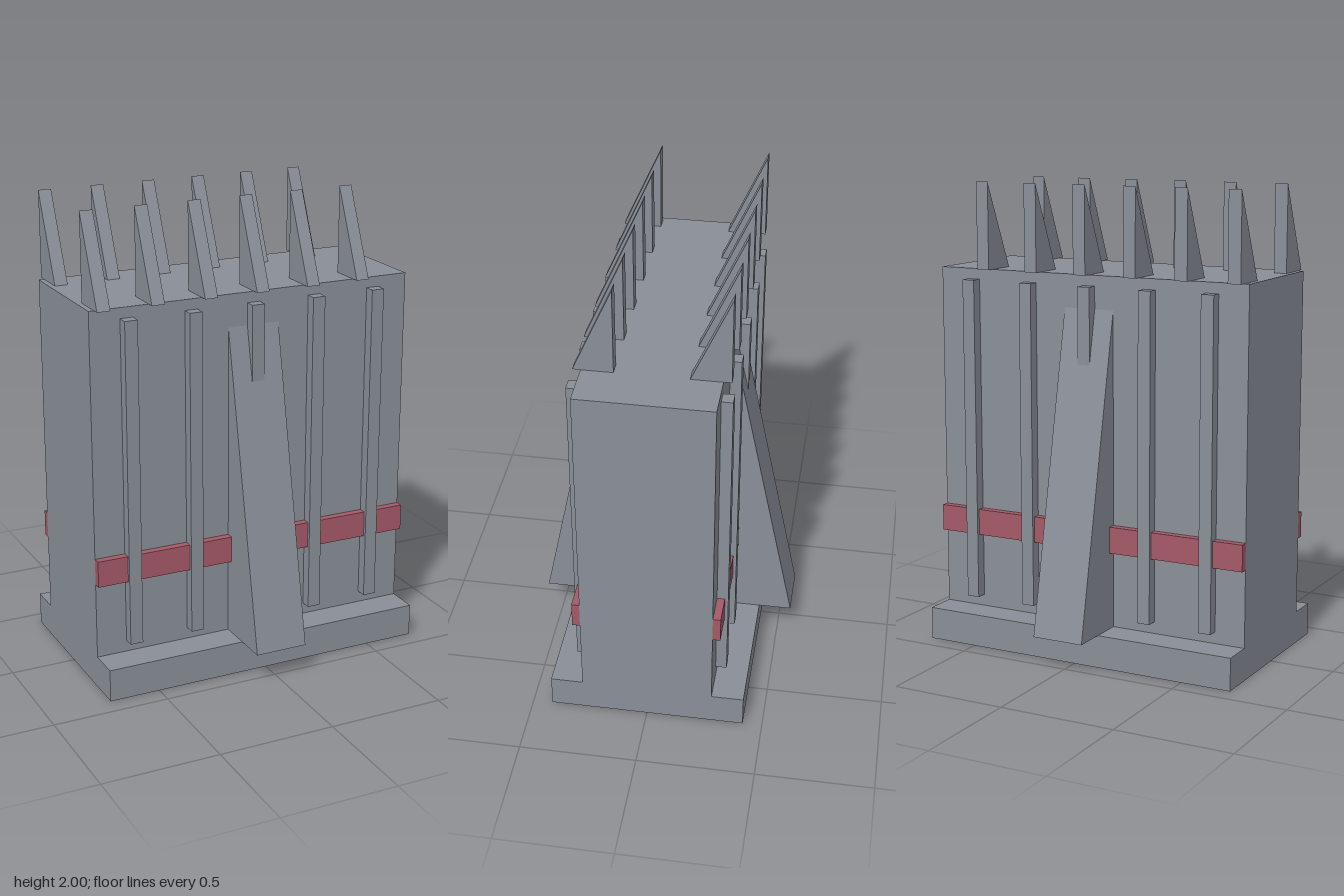
import * as THREE from 'three';

export function createModel() {
  const model = new THREE.Group();
  const stone = new THREE.MeshStandardMaterial({ color: 0x8a8f98 });
  stone.name = 'grey stone';
  const red = new THREE.MeshStandardMaterial({ color: 0xa55a67 });
  red.name = 'dull red';

  const add = (name, geometry, material) => {
    const mesh = new THREE.Mesh(geometry, material);
    mesh.name = name;
    model.add(mesh);
    return mesh;
  };

  // box given by its limits on each axis
  const box = (name, [x0, x1], [y0, y1], [z0, z1], material = stone) =>
    add(name, new THREE.BoxGeometry(x1 - x0, y1 - y0, z1 - z0), material)
      .position.set((x0 + x1) / 2, (y0 + y1) / 2, (z0 + z1) / 2);

  // triangular prism: profile of [z, y] corners, running from x0 to x1
  const wedge = (name, profile, x0, x1) => {
    const shape = new THREE.Shape(profile.map(([z, y]) => new THREE.Vector2(-z, y)));
    const geometry = new THREE.ExtrudeGeometry(shape, { depth: x1 - x0, bevelEnabled: false });
    geometry.rotateY(Math.PI / 2).translate(x0, 0, 0);
    add(name, geometry, stone);
  };

  // plinth and main block
  box('base', [-0.72, 0.72], [0, 0.14], [-0.417, 0.417]);
  box('body', [-0.72, 0.72], [0.14, 1.63], [-0.28, 0.28]);

  for (const [side, s] of [['front', 1], ['back', -1]]) {
    const depth = (d) => (s > 0 ? [0.28, d] : [-d, -0.28]);

    // painted band, vertical ribs and the sloping central buttress
    box(side + 'Band', [-0.72, 0.72], [0.47, 0.583], depth(0.313), red);
    for (let i = -2; i <= 2; i++) {
      box(side + 'Rib', [i * 0.28 - 0.028, i * 0.28 + 0.028], [0.19, 1.585], depth(0.327));
    }
    wedge(side + 'Buttress', [[s * 0.28, 0.14], [s * 0.558, 0.14], [s * 0.28, 1.49]], -0.114, 0.114);

    // row of roof spikes, upright on their back face
    const zFront = s > 0 ? 0.313 : -0.15;
    const zBack = s > 0 ? 0.15 : -0.313;
    for (let i = 0; i < 6; i++) {
      const x = -0.697 + i * 0.2323;
      wedge(side + 'Spike', [[zFront, 1.63], [zBack, 1.63], [zBack, 2]], x, x + 0.056);
    }
  }
  return model;
}
